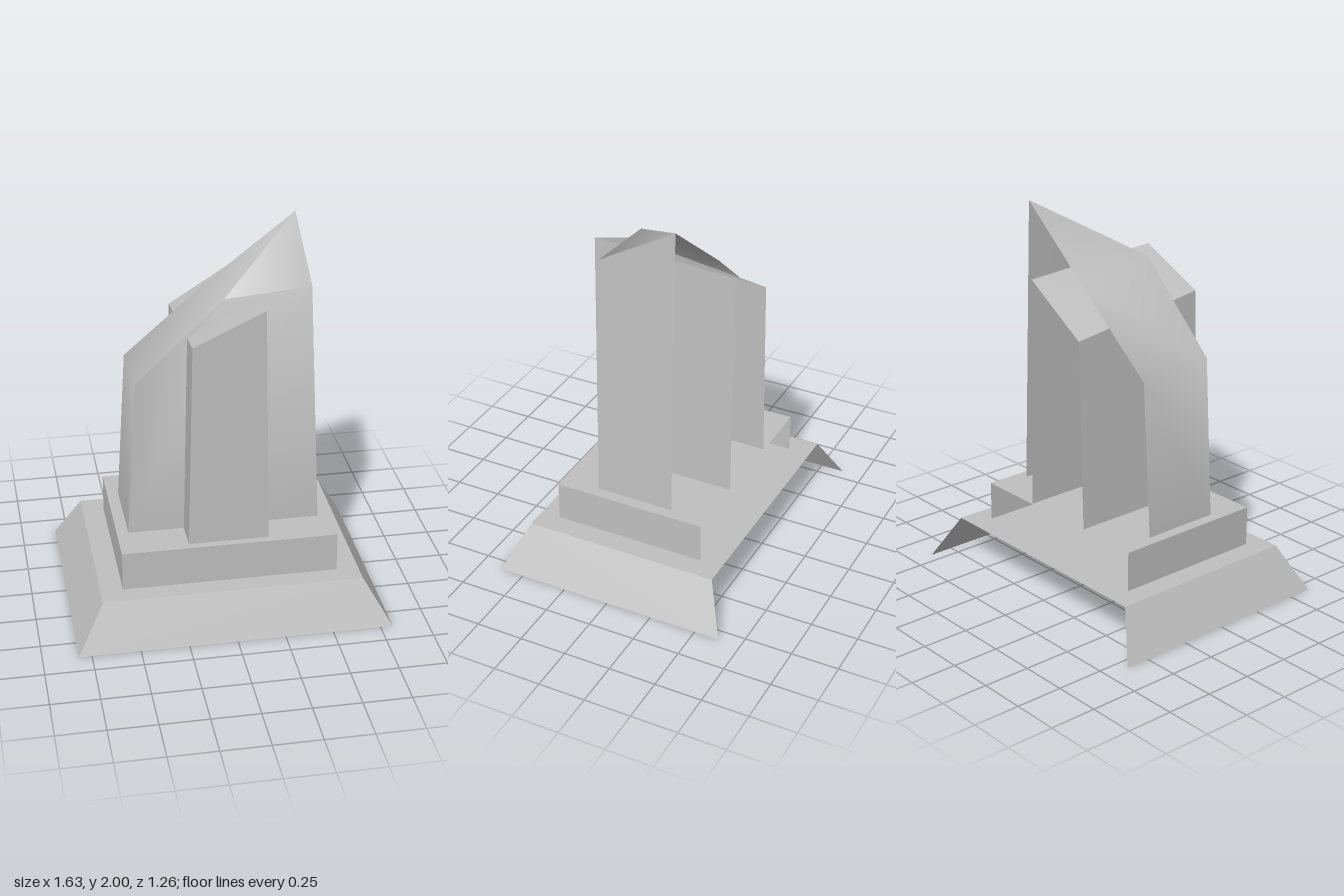
import * as THREE from 'three';
import { toCreasedNormals } from 'three/addons/utils/BufferGeometryUtils.js';

const stone = new THREE.MeshStandardMaterial({ color: 0xbfbfbf, side: THREE.DoubleSide });
stone.name = 'grey stone';

// Shell open at the bottom and back: a front face plus side and top strips.
// Both profiles run bottom left, over the top, to bottom right as [x, y, z].
function shell(name, front, back, crease = 0.6) {
  const n = front.length;
  const index = [];
  for (let i = 1; i < n - 1; i++) index.push(0, i + 1, i);
  for (let i = 0; i < n - 1; i++) index.push(i, i + 1, n + i + 1, i, n + i + 1, n + i);
  const geometry = new THREE.BufferGeometry();
  geometry.setAttribute('position', new THREE.Float32BufferAttribute([...front, ...back].flat(), 3));
  geometry.setIndex(index);
  const mesh = new THREE.Mesh(toCreasedNormals(geometry, crease), stone);
  mesh.name = name;
  return mesh;
}

// Profile of a symmetric step, bottom half-width w0 at z0, top half-width w1 at z1
const step = (w0, y0, z0, w1, y1, z1) =>
  [[-w0, y0, z0], [-w1, y1, z1], [w1, y1, z1], [w0, y0, z0]];

export function createModel() {
  const group = new THREE.Group();
  group.name = 'monument';

  // Sloped base and plinth
  group.add(shell('slopedBase',
    step(0.815, 0, 0.63, 0.675, 0.24, 0.52),
    step(0.815, 0, -0.63, 0.675, 0.24, -0.525)));
  group.add(shell('plinth',
    step(0.56, 0.24, 0.415, 0.56, 0.45, 0.415),
    step(0.56, 0.24, -0.405, 0.56, 0.45, -0.405)));

  // Wide tower with a twisted sloping roof that peaks at the back
  group.add(shell('mainTower',
    [[-0.5, 0.45, 0.21], [-0.45, 1.295, 0.21], [0, 1.725, 0.21], [0.44, 1.76, 0.21], [0.5, 0.45, 0.21]],
    [[-0.5, 0.45, -0.21], [-0.45, 1.265, -0.21], [0, 1.65, -0.22], [0.44, 2, -0.205], [0.5, 0.45, -0.21]],
    1.53));

  // Narrow pillar running through the tower from front to back
  group.add(shell('crossPillar',
    [[-0.21, 0.45, 0.375], [-0.185, 1.55, 0.375], [0.18, 1.72, 0.375], [0.205, 0.45, 0.375]],
    [[-0.21, 0.45, -0.4], [-0.185, 1.45, -0.4], [0.18, 1.68, -0.4], [0.205, 0.45, -0.4]]));

  return group;
}
